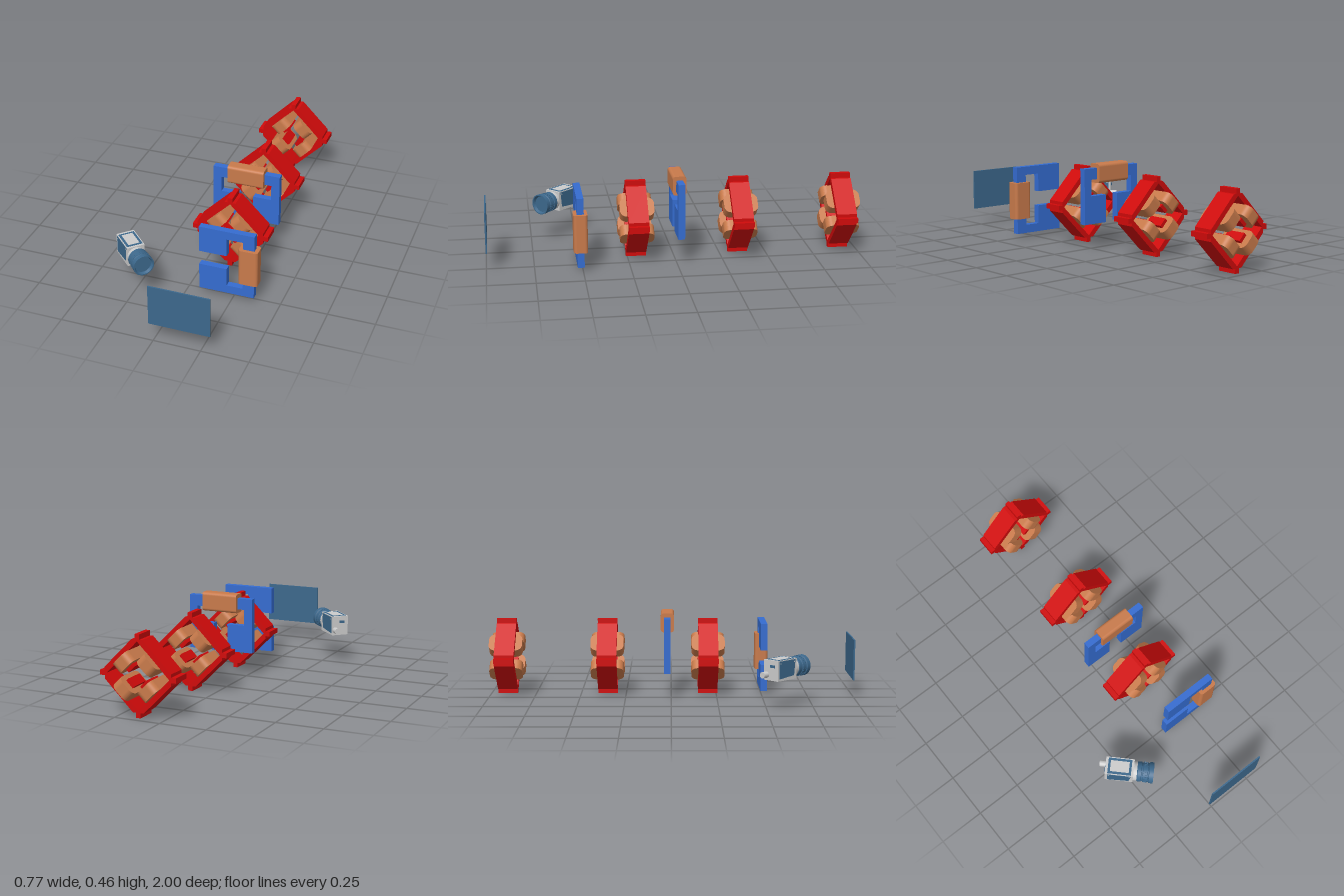
import * as THREE from 'three';

const paint = (color, side = THREE.FrontSide) => new THREE.MeshStandardMaterial({ color, side });
const RED = paint(0xd00a0a), COPPER = paint(0xc87a4b), BLUE = paint(0x356cd0);
const STEEL = paint(0x3c688c, THREE.DoubleSide), GREY = paint(0xcccccc);
const AXIS_X = 0.137, AXIS_Y = 0.211;

function add(parent, name, geometry, material, x = 0, y = 0, z = 0) {
  const mesh = new THREE.Mesh(geometry, material);
  mesh.name = name;
  mesh.position.set(x, y, z);
  parent.add(mesh);
  return mesh;
}

function group(parent, name, x, y, z) {
  const g = new THREE.Group();
  g.name = name;
  g.position.set(x, y, z);
  parent.add(g);
  return g;
}

const box = (w, h, d) => new THREE.BoxGeometry(w, h, d);
const shapeOf = (pts) => new THREE.Shape(pts.map(([x, y]) => new THREE.Vector2(x, y)));

// extrusion centred on its depth
function slab(shape, depth) {
  const g = new THREE.ExtrudeGeometry(shape, { depth, bevelEnabled: false, curveSegments: 10 });
  return g.translate(0, 0, -depth / 2);
}

// winding: a rounded rectangle (x by z) extruded along y
function winding(w, h, d, r) {
  const s = new THREE.Shape(), a = w / 2, b = d / 2;
  s.moveTo(a, r - b);
  s.absarc(a - r, b - r, r, 0, Math.PI / 2);
  s.absarc(r - a, b - r, r, Math.PI / 2, Math.PI);
  s.absarc(r - a, r - b, r, Math.PI, Math.PI * 1.5);
  s.absarc(a - r, r - b, r, Math.PI * 1.5, Math.PI * 2);
  return slab(s, h).rotateX(Math.PI / 2);
}

// four-pole magnet: diamond yoke with corner tabs, four poles and windings
function fourPoleMagnet(parent, z) {
  const g = group(parent, 'fourPoleMagnet', AXIS_X, AXIS_Y, z);
  const corner = [[0.184, -0.03], [0.184, -0.013], [0.21, -0.013],
    [0.21, 0.013], [0.184, 0.013], [0.184, 0.03]];
  const outline = [];
  for (let i = 0; i < 4; i++) {
    const c = [1, 0, -1, 0][i], s = [0, 1, 0, -1][i];
    corner.forEach(([x, y]) => outline.push([x * c - y * s, x * s + y * c]));
  }
  const yoke = shapeOf(outline);
  yoke.holes.push(shapeOf([[0.174, 0], [0, -0.174], [-0.174, 0], [0, 0.174]]));
  add(g, 'magnetYoke', slab(yoke, 0.108), RED);
  for (let i = 0; i < 4; i++) {
    const arm = group(g, 'poleAssembly', 0, 0, 0);
    arm.rotation.z = Math.PI / 4 + i * Math.PI / 2;
    add(arm, 'pole', box(0.05, 0.095, 0.108), RED, 0, 0.0925, 0);
    add(arm, 'poleWinding', winding(0.108, 0.06, 0.182, 0.034), COPPER, 0, 0.094, 0);
  }
}

// C-shaped steering magnet with one winding on its back limb
function steeringMagnet(parent, z, turn) {
  const g = group(parent, 'steeringMagnet', AXIS_X, AXIS_Y, z);
  g.rotation.z = turn;
  const half = [[-0.071, 0.04], [0.079, 0.04], [0.079, 0.141], [0.167, 0.141]];
  const mirrored = half.map(([x, y]) => [x, -y]).reverse();
  const core = shapeOf([...half, ...mirrored, [-0.071, -0.187], [0.227, -0.187],
    [0.227, 0.187], [-0.071, 0.187]]);
  add(g, 'steeringCore', slab(core, 0.036), BLUE);
  add(g, 'steeringWinding', winding(0.103, 0.203, 0.073, 0.016), COPPER, 0.197, 0, 0);
}

// camera, looking along its own +z; origin at the front of the body
function viewingCamera(parent) {
  const g = group(parent, 'viewingCamera', -0.243, 0.212, 0.624);
  g.rotation.y = Math.PI / 4;
  add(g, 'cameraBody', box(0.096, 0.108, 0.151), GREY, 0, 0, -0.0755);
  // side panels taper towards the front
  for (const s of [-1, 1]) {
    const panel = shapeOf([[0.012, 0.05], [0.138, 0.05], [0.138, -0.043], [0.022, -0.034]]);
    const m = add(g, 'sidePanel', slab(panel, 0.003), STEEL, s * 0.0482, 0, 0);
    m.rotation.y = Math.PI / 2;
    for (const z of [-0.02, -0.13]) {
      const screw = new THREE.CylinderGeometry(0.004, 0.004, 0.004, 12).rotateZ(Math.PI / 2);
      add(g, 'screw', screw, GREY, s * 0.0485, 0.038, z);
    }
  }
  add(g, 'topPanel', box(0.086, 0.003, 0.125), STEEL, 0, 0.0535, -0.075);
  add(g, 'topPlate', box(0.06, 0.003, 0.1), GREY, 0, 0.0545, -0.075);
  const plug = (r, l) => new THREE.CylinderGeometry(r, r, l, 24).rotateX(Math.PI / 2);
  add(g, 'connector', plug(0.017, 0.036), GREY, 0.029, -0.025, -0.167);
  add(g, 'socket', box(0.03, 0.014, 0.004), STEEL, -0.012, 0.022, -0.152);
  add(g, 'lensMount', plug(0.05, 0.026), GREY, 0, 0, 0.012);

  // stepped lens barrel with a hollow front
  const profile = [[0, 0.018], [0.05, 0.018], [0.053, 0.022], [0.053, 0.04], [0.049, 0.042],
    [0.049, 0.048], [0.053, 0.05], [0.053, 0.074], [0.05, 0.076], [0.05, 0.08], [0.056, 0.083],
    [0.056, 0.106], [0.05, 0.106], [0.044, 0.092], [0, 0.092]];
  for (let i = 0; i < profile.length - 1; i++) {
    const pts = [profile[i], profile[i + 1]].map(([r, z]) => new THREE.Vector2(r, z));
    add(g, 'lensBarrel', new THREE.LatheGeometry(pts, 40).rotateX(Math.PI / 2), STEEL);
  }
  // grip ridges round the focus ring
  for (let i = 0; i < 28; i++) {
    const a = i / 28 * Math.PI * 2;
    const ridge = add(g, 'gripRidge', box(0.003, 0.006, 0.018), STEEL,
      Math.cos(a) * 0.053, Math.sin(a) * 0.053, 0.062);
    ridge.rotation.z = a;
  }
}

export function createModel() {
  const model = new THREE.Group();
  model.name = 'beamline';
  [0.203, -0.352, -0.909].forEach((z) => fourPoleMagnet(model, z));
  steeringMagnet(model, 0.511, 0);
  steeringMagnet(model, -0.021, Math.PI / 2);
  add(model, 'screen', box(0.323, 0.222, 0.008), STEEL, 0.139, 0.211, 0.996);
  viewingCamera(model);
  return model;
}
